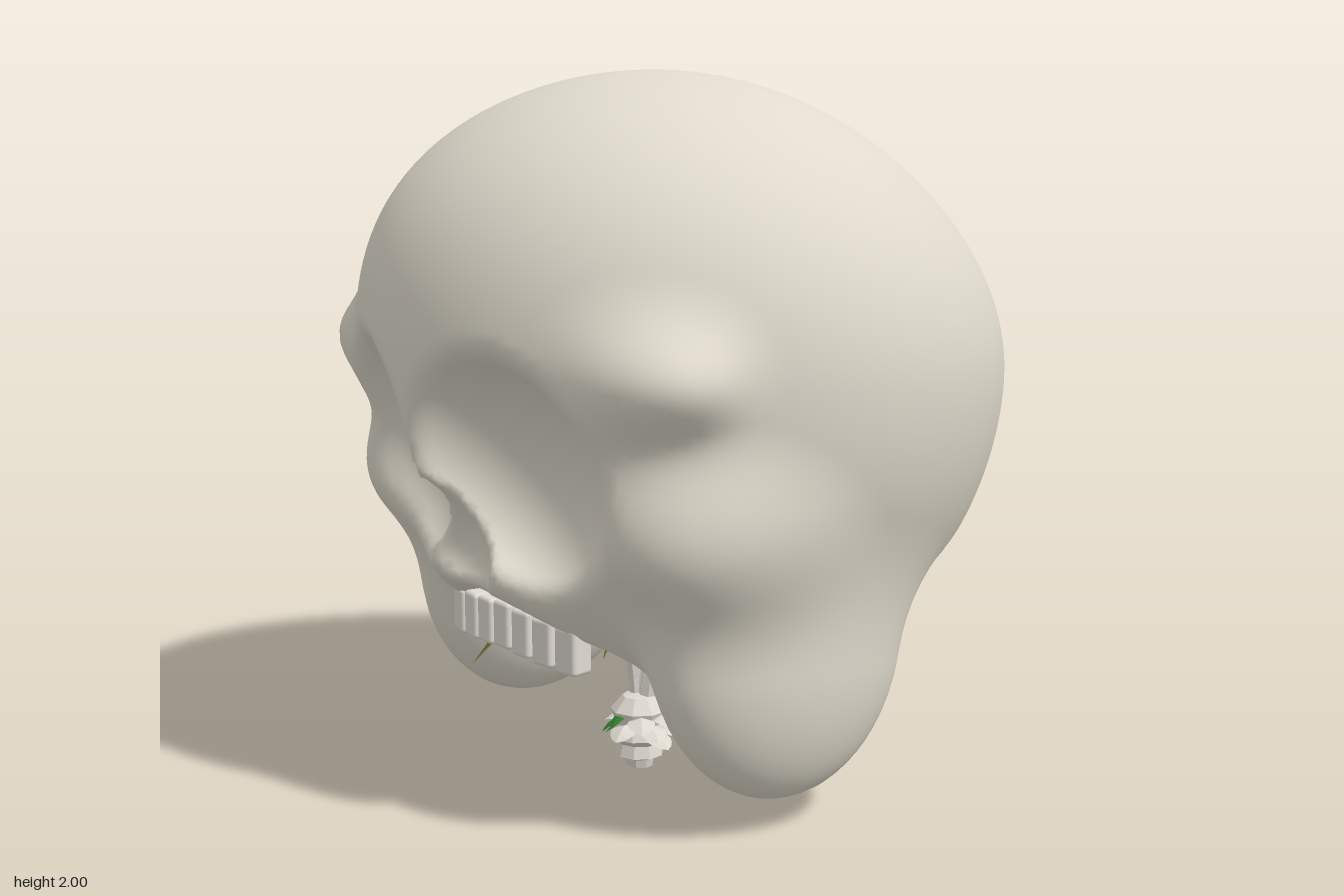
import * as THREE from 'three';
import { RoundedBoxGeometry } from 'three/addons/geometries/RoundedBoxGeometry.js';

const mat = (name, color, extra = {}) => {
  const m = new THREE.MeshStandardMaterial({ color, ...extra });
  m.name = name;
  return m;
};

// ---- skull volume, written as blended ellipsoids ----
function ellipsoid(x, y, z, cx, cy, cz, rx, ry, rz) {
  const px = (x - cx) / rx, py = (y - cy) / ry, pz = (z - cz) / rz;
  const k0 = Math.hypot(px, py, pz);
  const k1 = Math.hypot(px / rx, py / ry, pz / rz);
  return k1 < 1e-6 ? -Math.min(rx, ry, rz) : k0 * (k0 - 1) / k1;
}
function join(a, b, k) {
  const h = Math.max(k - Math.abs(a - b), 0) / k;
  return Math.min(a, b) - h * h * k * 0.25;
}
const cut = (a, b, k) => -join(-a, b, k);

function skullField(sx, y, z) {
  const x = Math.abs(sx);
  // cranium, its crown leaning forward
  const lean = 0.1 * THREE.MathUtils.smoothstep(y, 1.1, 1.95);
  let d = ellipsoid(x, y, z - lean, 0, 1.2, 0, 0.928, y > 1.2 ? 0.8 : 0.97, 0.91);
  // sloping base of the back
  d = cut(d, (y - 0.605 + 0.41 * (z + 0.3)) * 0.93, 0.05);
  // brow ends and cheekbones
  d = join(d, ellipsoid(x, y, z, 0.62, 1.235, 0.56, 0.225, 0.125, 0.17), 0.15);
  d = join(d, ellipsoid(x, y, z, 0.615, 0.855, 0.32, 0.25, 0.26, 0.35), 0.11);
  // mouth arch and hollow underneath, open towards the back
  d = cut(d, (Math.hypot(x / 0.44, (y - 0.1) / 0.5) - 1) * 0.44, 0.06);
  d = cut(d, ellipsoid(x, y, z, 0, 0.48, -0.14, 0.46, 0.36, 0.7), 0.12);
  // hanging jaw lobes
  d = join(d, ellipsoid(x, y, z, 0.615 - 0.06 * (y - 0.1), 0.55, 0.12, 0.215, 0.47, 0.4), 0.14);
  // eye sockets and nose opening, leaning back towards the bottom
  d = cut(d, ellipsoid(x, y, z, 0.335, 0.975, 0.86 + 0.3 * (y - 0.975), 0.31, 0.33, 0.27), 0.06);
  const taper = 1 + Math.max(-0.3, (y - 0.74) * 2);
  d = cut(d, ellipsoid(x * taper, y, z, 0, 0.765, 0.84 + 0.4 * (y - 0.765), 0.16, 0.17, 0.15), 0.03);
  return d;
}

// Wraps a smooth surface around the zero level of a field
function surfaceFrom(field, n, step, origin) {
  const m = n + 1, values = new Float32Array(m * m * m);
  const stride = [1, m, m * m];
  const at = (i, a) => origin[a] + i * step;
  for (let k = 0; k < m; k++) for (let j = 0; j < m; j++) for (let i = 0; i < m; i++)
    values[i + j * m + k * m * m] = field(at(i, 0), at(j, 1), at(k, 2));
  const ids = new Int32Array(m * m * m).fill(-1), pos = [], nor = [], index = [];
  for (let k = 0; k < n; k++) for (let j = 0; j < n; j++) for (let i = 0; i < n; i++) {
    const base = i + j * m + k * m * m, p = [0, 0, 0];
    let hits = 0;
    for (let c = 0; c < 8; c++) for (let a = 0; a < 3; a++) {
      if (c & (1 << a)) continue;
      const o = [c & 1, (c >> 1) & 1, (c >> 2) & 1];
      const q = base + o[0] + o[1] * m + o[2] * m * m;
      const v0 = values[q], v1 = values[q + stride[a]];
      if ((v0 < 0) === (v1 < 0)) continue;
      o[a] += v0 / (v0 - v1);
      for (let b = 0; b < 3; b++) p[b] += o[b];
      hits++;
    }
    if (!hits) continue;
    ids[base] = pos.length / 3;
    const [x, y, z] = [i, j, k].map((g, a) => at(g + p[a] / hits, a));
    const e = 0.012;
    const g = new THREE.Vector3(
      field(x + e, y, z) - field(x - e, y, z),
      field(x, y + e, z) - field(x, y - e, z),
      field(x, y, z + e) - field(x, y, z - e)).normalize();
    pos.push(x, y, z);
    nor.push(g.x, g.y, g.z);
  }
  for (let k = 1; k < n; k++) for (let j = 1; j < n; j++) for (let i = 1; i < n; i++) {
    const q = i + j * m + k * m * m;
    for (let a = 0; a < 3; a++) {
      const inside = values[q] < 0;
      if (inside === (values[q + stride[a]] < 0)) continue;
      const b = stride[(a + 1) % 3], c = stride[(a + 2) % 3];
      const f = [q, q - b, q - b - c, q - c].map((s) => ids[s]);
      if (!inside) f.reverse();
      index.push(f[0], f[1], f[2], f[0], f[2], f[3]);
    }
  }
  const geo = new THREE.BufferGeometry();
  geo.setAttribute('position', new THREE.Float32BufferAttribute(pos, 3));
  geo.setAttribute('normal', new THREE.Float32BufferAttribute(nor, 3));
  geo.setIndex(index);
  return geo;
}

// Tapered blade following a drooping arc along +x
function bladeGeometry(length, width, rise, drop) {
  const geo = new THREE.PlaneGeometry(1, 1, 8, 2), p = geo.attributes.position;
  for (let i = 0; i < p.count; i++) {
    const t = p.getX(i) + 0.5, s = p.getY(i) * 2;
    const w = width * Math.pow(Math.sin(Math.PI * (0.08 + 0.92 * t)), 0.7) * 0.5;
    p.setXYZ(i, length * t, rise * Math.sin(Math.PI * t) - drop * t * t - Math.abs(s) * w * 0.35, s * w);
  }
  geo.computeVertexNormals();
  return geo;
}

export function createModel() {
  const model = new THREE.Group();
  model.name = 'skullWithPlant';
  const bone = mat('bone', 0xdfdacc);
  const enamel = mat('enamel', 0xdfdad2);
  const stemPale = mat('paleStem', 0xdcd7ce, { flatShading: true, side: THREE.DoubleSide });
  const olive = mat('oliveLeaf', 0x6c6c2c, { side: THREE.DoubleSide });
  const green = mat('green', 0x35802f, { flatShading: true, side: THREE.DoubleSide });
  const add = (name, geo, material, parent = model) => {
    const mesh = new THREE.Mesh(geo, material);
    mesh.name = name;
    parent.add(mesh);
    return mesh;
  };

  add('skull', surfaceFrom(skullField, 84, 0.025, [-1.05, -0.04, -1.05]), bone);

  // upper row of teeth on a shallow arc
  const teeth = new THREE.Group();
  teeth.name = 'teeth';
  model.add(teeth);
  for (let i = -3; i <= 3; i++) {
    const t = add('tooth', new RoundedBoxGeometry(0.078, 0.13, 0.07, 2, 0.012), enamel, teeth);
    t.position.set(i * 0.09, 0.495 - Math.abs(i) * 0.006, 0.585 - i * i * 0.003);
    t.rotation.y = i * 0.07;
  }

  // plant hanging in the hollow
  const plant = new THREE.Group();
  plant.name = 'plant';
  model.add(plant);
  const stems = [
    [[0, 0.16, 0.14], [-0.02, 0.4, 0.12], [-0.05, 0.7, 0.02]],
    [[0.01, 0.16, 0.14], [0.05, 0.4, 0.12], [0.17, 0.64, 0.1]],
    [[0, 0.16, 0.14], [0, 0.4, 0.06], [0.02, 0.7, -0.14]],
    [[-0.01, 0.16, 0.14], [-0.02, 0.4, 0.16], [0.03, 0.66, 0.24]],
    [[0, 0.16, 0.13], [-0.02, 0.38, 0.06], [-0.14, 0.66, -0.1]],
  ];
  for (const s of stems) {
    const curve = new THREE.CatmullRomCurve3(s.map((p) => new THREE.Vector3(...p)));
    add('stem', new THREE.TubeGeometry(curve, 10, 0.026, 6), stemPale, plant);
  }

  // knobbly root bulb with spreading scales
  const profile = [[0, 0.01], [0.04, 0.01], [0.045, 0.035], [0.07, 0.045], [0.06, 0.08], [0.085, 0.1],
    [0.07, 0.14], [0.085, 0.18], [0.05, 0.22], [0, 0.23]].map((p) => new THREE.Vector2(...p));
  add('rootBulb', new THREE.LatheGeometry(profile, 9), stemPale, plant).position.set(0, -0.01, 0.15);
  for (let i = 0; i < 14; i++) {
    const greenBit = i % 5 === 2;
    const scale = add('rootScale', bladeGeometry(greenBit ? 0.06 : 0.09, greenBit ? 0.04 : 0.08, 0.01, 0.03),
      greenBit ? green : stemPale, plant);
    const a = i * 2.4;
    scale.position.set(Math.cos(a) * 0.05, 0.11 + (i % 3) * 0.025, 0.15 - Math.sin(a) * 0.05);
    scale.rotation.y = a;
  }

  // leafy green clump with pointed leaflets
  const clump = new THREE.IcosahedronGeometry(1, 2), cp = clump.attributes.position;
  for (let i = 0; i < cp.count; i++) {
    const x = cp.getX(i), y = cp.getY(i), z = cp.getZ(i);
    const r = 1 + 0.07 * Math.sin(7 * x + 3 * z) * Math.cos(6 * y + 4 * z);
    cp.setXYZ(i, x * r * 0.17, y * r * 0.1, z * r * 0.16);
  }
  clump.computeVertexNormals();
  add('leafClump', clump, green, plant).position.set(-0.01, 0.71, -0.1);
  for (let i = 0; i < 9; i++) {
    const leaf = add('leaflet', bladeGeometry(0.12, 0.05, 0.03, i % 2 ? 0.05 : -0.02), green, plant);
    const a = i * Math.PI / 4.5;
    leaf.position.set(Math.cos(a) * 0.12, 0.71, -0.1 - Math.sin(a) * 0.11);
    leaf.rotation.y = a;
  }
  // single green leaf hanging by the jaw
  const hanging = add('hangingLeaf', bladeGeometry(0.2, 0.04, 0, 0), green, plant);
  hanging.position.set(0.23, 0.6, 0.19);
  hanging.rotation.z = -Math.PI / 2;

  // drooping olive leaves: angle, length, drop, width
  const leaves = [[1.57, 0.38, 0.3, 0.09], [1.1, 0.3, 0.14, 0.08], [2.1, 0.38, 0.14, 0.1], [0.5, 0.28, 0.12, 0.07],
    [2.75, 0.34, 0.14, 0.1], [-0.5, 0.25, 0.22, 0.05], [-1.2, 0.42, 0.26, 0.06], [-1.85, 0.64, 0.31, 0.1],
    [-2.25, 0.4, 0.3, 0.09], [-2.9, 0.27, 0.28, 0.07], [-2.4, 0.14, 0.33, 0.1]];
  for (const [a, length, drop, width] of leaves) {
    const leaf = add('droopingLeaf', bladeGeometry(length, width, 0.06, drop), olive, plant);
    leaf.position.set(0, 0.65, -0.01);
    leaf.rotation.y = a;
  }
  return model;
}
